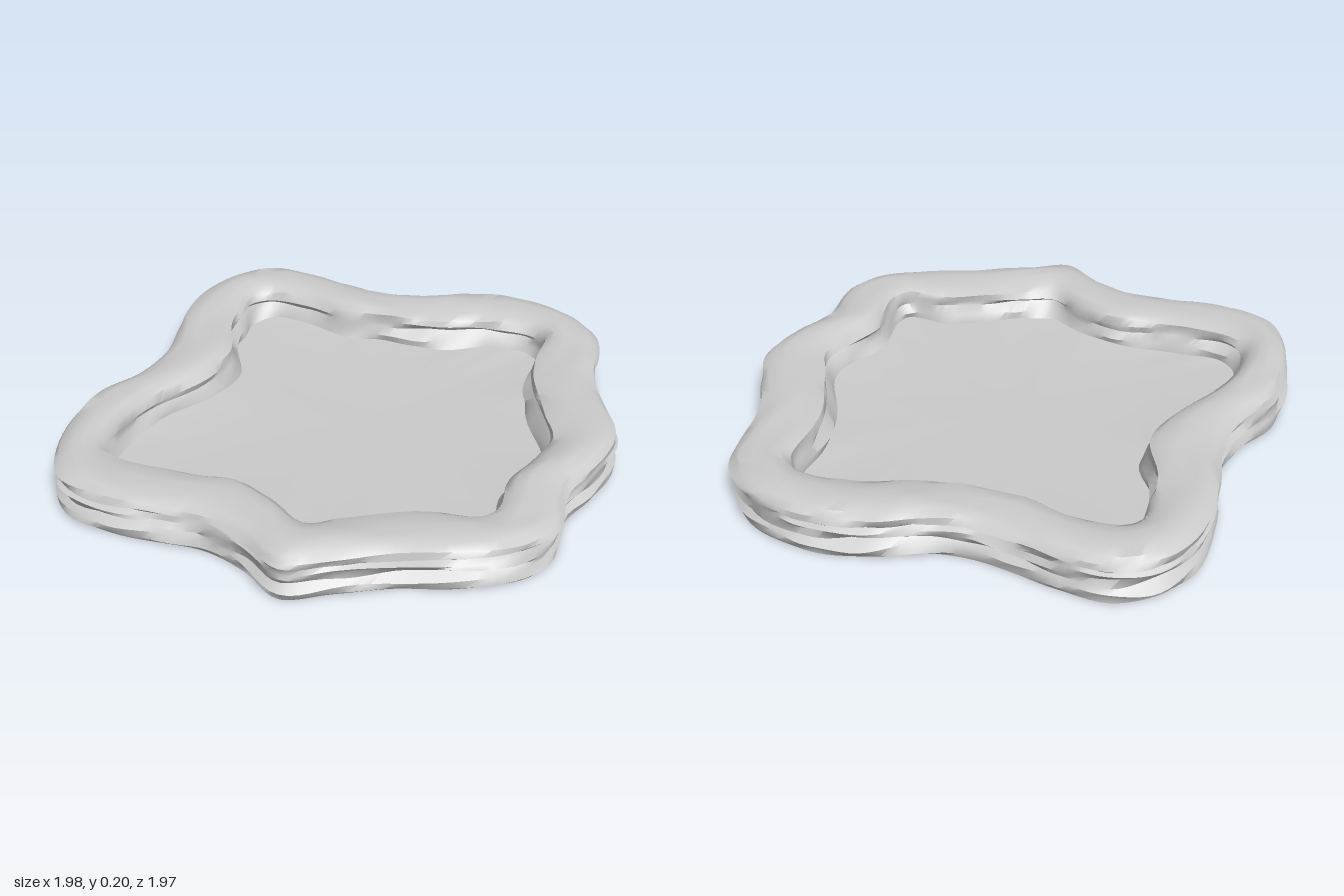
import * as THREE from 'three';
import { mergeVertices, toCreasedNormals } from 'three/addons/utils/BufferGeometryUtils.js';

// Plan outlines (x, z) of the stone rim, paired point by point from the front tip towards +x.
const OUTER = [
  0.04, 0.98, 0.21, 0.90, 0.40, 0.81, 0.62, 0.74, 0.80, 0.63, 0.88, 0.50, 0.88, 0.28,
  0.95, 0.12, 0.99, -0.08, 0.93, -0.26, 0.84, -0.46, 0.83, -0.62, 0.80, -0.77, 0.68, -0.91,
  0.50, -0.98, 0.36, -0.99, 0.20, -0.96, 0.05, -0.89, -0.10, -0.86, -0.28, -0.89, -0.45, -0.93,
  -0.62, -0.94, -0.77, -0.86, -0.86, -0.71, -0.88, -0.42, -0.84, -0.18, -0.89, 0.05, -0.98, 0.22,
  -0.99, 0.42, -0.94, 0.64, -0.84, 0.77, -0.66, 0.82, -0.45, 0.82, -0.28, 0.82, -0.12, 0.88,
];
const INNER = [
  0.04, 0.70, 0.15, 0.66, 0.28, 0.60, 0.45, 0.53, 0.60, 0.52, 0.64, 0.46, 0.64, 0.28,
  0.70, 0.13, 0.74, 0.00, 0.68, -0.16, 0.60, -0.34, 0.57, -0.50, 0.58, -0.68, 0.53, -0.73,
  0.42, -0.74, 0.32, -0.73, 0.16, -0.67, 0.02, -0.65, -0.10, -0.65, -0.25, -0.64, -0.42, -0.69,
  -0.58, -0.70, -0.65, -0.64, -0.65, -0.52, -0.64, -0.40, -0.56, -0.22, -0.60, -0.04, -0.72, 0.16,
  -0.78, 0.33, -0.78, 0.51, -0.70, 0.57, -0.55, 0.58, -0.40, 0.57, -0.25, 0.56, -0.10, 0.62,
];
const SEGMENTS = 175;

function smoothLoop(flat) {
  const pts = [];
  for (let i = 0; i < flat.length; i += 2) pts.push(new THREE.Vector3(flat[i], 0, flat[i + 1]));
  const curve = new THREE.CatmullRomCurve3(pts, true, 'centripetal');
  return Array.from({ length: SEGMENTS }, (_, i) => curve.getPoint(i / SEGMENTS));
}
const outer = smoothLoop(OUTER);
const inner = smoothLoop(INNER);

// Irregular wave around the rim, in the range -1..1.
const wave = (a, k) =>
  0.45 * Math.sin(5 * a + 1.9 * k) + 0.35 * Math.sin(11 * a + 2.7 * k) + 0.2 * Math.sin(23 * a + 4.1 * k);

// Lofts rings of points; every ring is a closed loop of SEGMENTS points.
function loft(rings) {
  const position = [];
  const index = [];
  rings.forEach((ring) => ring.forEach((p) => position.push(p.x, p.y, p.z)));
  for (let r = 0; r < rings.length - 1; r++) {
    for (let i = 0; i < SEGMENTS; i++) {
      const j = (i + 1) % SEGMENTS;
      const a = r * SEGMENTS + i, b = r * SEGMENTS + j;
      const c = b + SEGMENTS, d = a + SEGMENTS;
      index.push(a, b, c, a, c, d);
    }
  }
  const g = new THREE.BufferGeometry();
  g.setAttribute('position', new THREE.Float32BufferAttribute(position, 3));
  g.setIndex(index);
  return toCreasedNormals(mergeVertices(g, 1e-5), 0.75);
}

// Ring at fraction t across the rim (0 outside, 1 inside), roughened by dt and dy.
const rimRing = ([t, y, dt, dy], k) =>
  outer.map((p, i) => {
    const a = (i / SEGMENTS) * Math.PI * 2;
    const v = p.clone().lerp(inner[i], t + dt * wave(a, k));
    v.y = y + dy * wave(a, k * 0.6 + 1);
    return v;
  });

// Scaled copy of a ring towards the middle at height y.
const shrink = (ring, s, y) => ring.map((p) => new THREE.Vector3(p.x * s, y, p.z * s));

export function createModel() {
  const group = new THREE.Group();
  const material = new THREE.MeshStandardMaterial({ color: 0xcccccc });
  const add = (name, rings) => {
    const mesh = new THREE.Mesh(loft(rings), material);
    mesh.name = name;
    group.add(mesh);
  };

  // Rim section: layered ledges outside, rounded top, lip and inner wall.
  const section = [
    [0.09, 0.0, 0.03, 0],
    [0.04, 0.02, 0.06, 0.004],
    [0.03, 0.045, 0.06, 0.008],
    [0.13, 0.065, 0.06, 0.01],
    [0.06, 0.09, 0.07, 0.01],
    [0.05, 0.11, 0.06, 0.01],
    [0.11, 0.125, 0.06, 0.008],
    [0.03, 0.14, 0.05, 0.008],
    [0.06, 0.162, 0.05, 0.006],
    [0.17, 0.179, 0.04, 0.008],
    [0.36, 0.187, 0.03, 0.011],
    [0.58, 0.186, 0.03, 0.01],
    [0.78, 0.179, 0.03, 0.009],
    [0.91, 0.163, 0.04, 0.008],
    [0.95, 0.135, 0.05, 0.01],
    [0.91, 0.115, 0.06, 0.008],
    [1.0, 0.085, 0.06, 0.008],
    [1.04, 0.055, 0.06, 0.006],
  ];
  const rings = section.map(rimRing);
  add('stoneRim', rings);

  // Basin floor, dipping slightly from the wall to the middle.
  const foot = rings[rings.length - 1];
  add('basinFloor', [foot, shrink(foot, 0.85, 0.05), shrink(foot, 0.5, 0.048), shrink(foot, 0, 0.048)]);

  // Flat underside.
  add('underside', [shrink(rings[0], 0, 0), shrink(rings[0], 0.5, 0), rings[0]]);

  return group;
}
